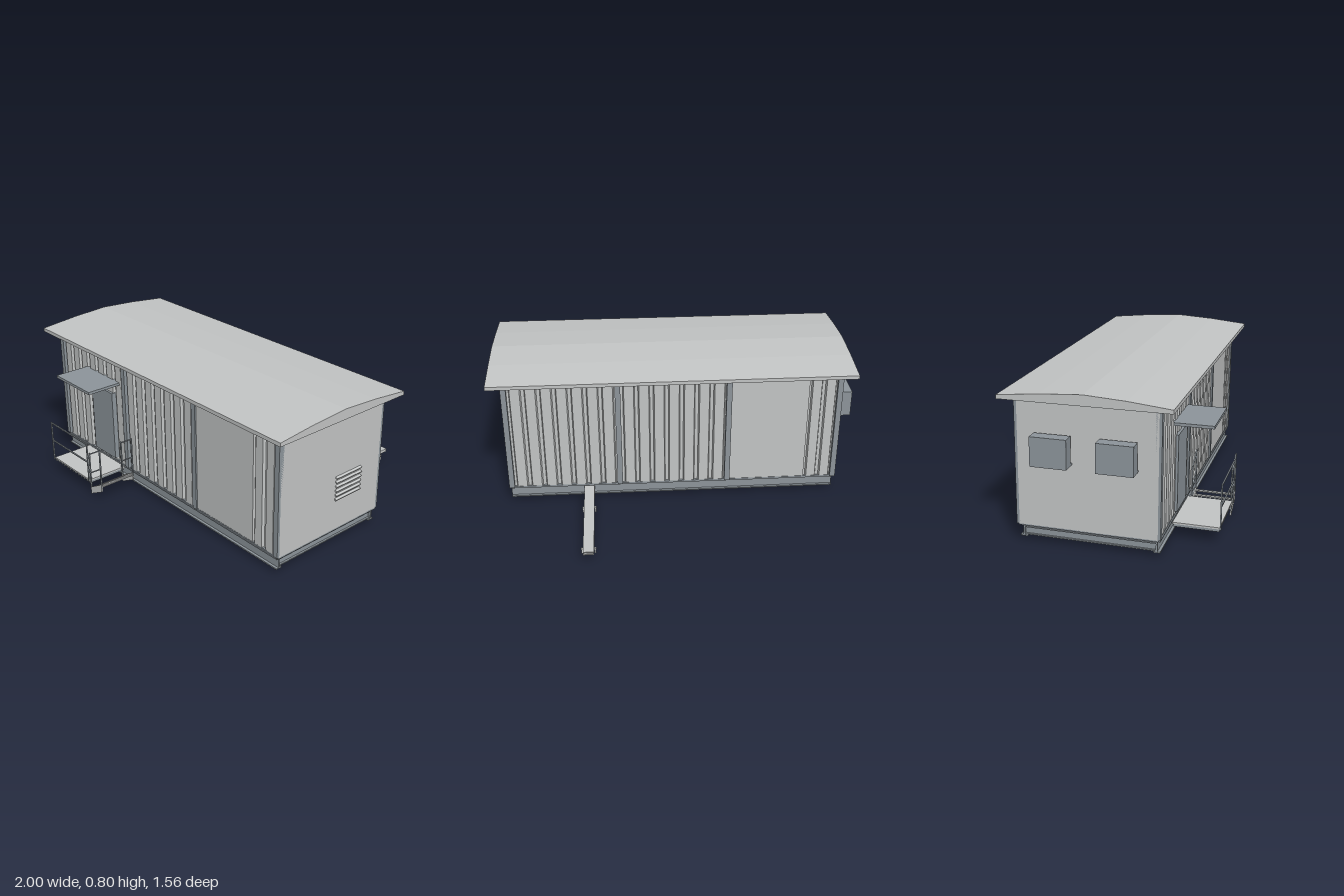
import * as THREE from 'three';

const material = (name, color) => {
  const m = new THREE.MeshStandardMaterial({ color });
  m.name = name;
  return m;
};

export function createModel() {
  const panel = material('pale grey panel', 0xc3c5c5);
  const steel = material('blue grey steel', 0x8d959b);
  const model = new THREE.Group();
  model.name = 'siteCabin';

  const add = (parent, name, geometry, mat) => {
    const mesh = new THREE.Mesh(geometry, mat);
    mesh.name = name;
    parent.add(mesh);
    return mesh;
  };
  // Box given by its limits along each axis
  const box = (parent, name, mat, x0, x1, y0, y1, z0, z1) => {
    const mesh = add(parent, name, new THREE.BoxGeometry(x1 - x0, y1 - y0, z1 - z0), mat);
    mesh.position.set((x0 + x1) / 2, (y0 + y1) / 2, (z0 + z1) / 2);
    return mesh;
  };
  // Square bar between two points in a plane of constant z
  const bar = (parent, name, xa, ya, xb, yb, z, t = 0.007) => {
    const length = Math.hypot(xb - xa, yb - ya) + t;
    const mesh = add(parent, name, new THREE.BoxGeometry(length, t, t), steel);
    mesh.position.set((xa + xb) / 2, (ya + yb) / 2, z);
    mesh.rotation.z = Math.atan2(yb - ya, xb - xa);
  };
  // Outline extruded along y; outline points are [x, z]
  const upright = (points, y0, y1) => {
    const shape = new THREE.Shape(points.map(([x, z]) => new THREE.Vector2(x, -z)));
    return new THREE.ExtrudeGeometry(shape, { depth: y1 - y0, bevelEnabled: false })
      .rotateX(-Math.PI / 2).translate(0, y0, 0);
  };

  // Cabin body with smooth end walls
  box(model, 'cabinBody', panel, -0.916, 0.926, 0.088, 0.742, -0.172, 0.512);
  box(model, 'endWallLeft', panel, 0.92, 0.928, 0.09, 0.742, -0.18, 0.52);
  box(model, 'endWallRight', panel, -0.918, -0.91, 0.09, 0.742, -0.18, 0.52);
  box(model, 'floorEdge', steel, -0.916, 0.928, 0.082, 0.092, -0.184, 0.524);

  // Long wall: columns, header and ribbed panels; the back is the front turned around
  const corrugation = (x0, x1, count) => {
    const low = 0.342, high = 0.357, p = (x1 - x0) / count;
    const points = [[x0, 0.33]];
    for (let i = 0; i < count; i++) {
      const x = x0 + i * p;
      points.push([x, low], [x + p * 0.15, low], [x + p * 0.22, high], [x + p * 0.86, high], [x + p * 0.93, low]);
    }
    points.push([x1, low], [x1, 0.33]);
    return upright(points, 0.095, 0.728);
  };
  for (const turn of [0, Math.PI]) {
    const wall = new THREE.Group();
    wall.name = turn ? 'backWall' : 'frontWall';
    wall.position.set(0.005, 0, 0.17);
    wall.rotation.y = turn;
    for (const x of [-0.908, -0.302, 0.302, 0.908]) {
      box(wall, 'column', steel, x - 0.015, x + 0.015, 0.09, 0.735, 0.335, 0.364);
    }
    box(wall, 'header', panel, -0.9, 0.9, 0.726, 0.742, 0.33, 0.358);
    add(wall, 'ribbedPanel', corrugation(-0.893, -0.317, 7), panel);
    add(wall, 'ribbedPanel', corrugation(-0.287, 0.287, 7), panel);
    box(wall, 'plainPanel', panel, 0.317, 0.74, 0.095, 0.728, 0.33, 0.356);
    add(wall, 'ribbedPanel', corrugation(0.74, 0.893, 2), panel);
    model.add(wall);
  }

  // Shallow curved roof
  const roofShape = new THREE.Shape();
  [[0.6, 0.74], [0.6, 0.76], [0.385, 0.782], [0.173, 0.795], [-0.04, 0.782], [-0.255, 0.76], [-0.255, 0.74]]
    .forEach(([z, y], i) => (i ? roofShape.lineTo(-z, y) : roofShape.moveTo(-z, y)));
  const roof = new THREE.ExtrudeGeometry(roofShape, { depth: 1.98, bevelEnabled: false });
  add(model, 'roof', roof.rotateY(Math.PI / 2).translate(-0.983, 0, 0), panel);

  // Skid frame: two long I-beams and cross beams
  for (const z of [-0.162, 0.512]) {
    box(model, 'skidWeb', steel, -0.905, 0.92, 0.022, 0.084, z - 0.004, z + 0.004);
    for (const y of [0.02, 0.078]) {
      box(model, 'skidFlange', steel, -0.905, 0.92, y, y + 0.007, z - 0.018, z + 0.018);
    }
  }
  for (let i = 0; i < 6; i++) {
    const x = -0.89 + i * 0.358;
    box(model, 'crossBeamWeb', steel, x - 0.004, x + 0.004, 0.03, 0.072, -0.16, 0.51);
    for (const y of [0.028, 0.066]) {
      box(model, 'crossBeamFlange', steel, x - 0.014, x + 0.014, y, y + 0.006, -0.16, 0.51);
    }
  }
  // Service openings under the floor
  for (const x of [0.39, 0.69]) {
    box(model, 'floorOpening', panel, x - 0.045, x + 0.045, 0.078, 0.084, 0.11, 0.22);
  }

  // Door and canopy
  box(model, 'door', steel, -0.6, -0.4, 0.11, 0.515, 0.51, 0.54);
  box(model, 'canopy', steel, -0.66, -0.34, 0.582, 0.597, 0.515, 0.727);

  // Entrance platform on joists
  box(model, 'platformDeck', panel, -0.68, -0.32, 0.078, 0.087, 0.535, 0.772);
  for (let i = 0; i < 13; i++) {
    const x = -0.674 + i * 0.029;
    box(model, 'platformJoist', steel, x - 0.003, x + 0.003, 0.064, 0.078, 0.54, 0.77);
  }
  for (const x of [-0.68, -0.32]) bar(model, 'railPost', x, 0.08, x, 0.31, 0.776);
  for (const y of [0.2, 0.31]) bar(model, 'platformRail', -0.68, y, -0.32, y, 0.776);

  // Steps with sloping stringers and handrails on both sides
  const stringer = new THREE.Shape([[-0.317, 0], [-0.21, 0.055], [-0.21, 0.1], [-0.317, 0.042]]
    .map(([x, y]) => new THREE.Vector2(x, y)));
  for (const z of [0.555, 0.765]) {
    add(model, 'stepStringer', new THREE.ExtrudeGeometry(stringer, { depth: 0.008, bevelEnabled: false })
      .translate(0, 0, z - 0.004), panel);
    bar(model, 'stepPost', -0.317, 0.03, -0.317, 0.25, z);
    bar(model, 'stepPost', -0.213, 0.08, -0.213, 0.308, z);
    bar(model, 'stepHandrail', -0.317, 0.245, -0.213, 0.308, z);
    bar(model, 'stepMidrail', -0.317, 0.13, -0.213, 0.195, z);
  }
  for (let i = 0; i < 4; i++) {
    const x = -0.303 + i * 0.027, y = 0.032 + i * 0.016;
    for (const dx of [-0.008, 0, 0.008]) {
      box(model, 'stepTreadBar', panel, x + dx - 0.003, x + dx + 0.003, y, y + 0.006, 0.556, 0.764);
    }
    for (let j = 0; j < 9; j++) {
      const z = 0.572 + j * 0.022;
      box(model, 'stepTreadLink', panel, x - 0.01, x + 0.01, y, y + 0.005, z - 0.003, z + 0.003);
    }
  }

  // Cooling units on shelves
  for (const z of [0.005, 0.33]) {
    box(model, 'coolingUnit', steel, -1, -0.935, 0.434, 0.575, z - 0.092, z + 0.092);
    box(model, 'coolingShelf', steel, -1, -0.915, 0.426, 0.434, z - 0.092, z + 0.092);
  }

  // Louvred vent: sloping slats
  for (let i = 0; i < 6; i++) {
    const slat = box(model, 'ventSlat', panel, 0.923, 0.939, 0.261 + i * 0.0245, 0.269 + i * 0.0245, -0.04, 0.142);
    slat.rotation.z = -0.45;
  }

  // Cable tray at the back with short legs
  box(model, 'cableTray', panel, 0.453, 0.51, 0.052, 0.058, -0.78, 0.1);
  for (const x of [0.453, 0.504]) box(model, 'traySide', panel, x, x + 0.006, 0.052, 0.07, -0.78, 0.1);
  box(model, 'trayCover', panel, 0.453, 0.51, 0.066, 0.071, -0.78, 0.1);
  for (const z of [-0.355, -0.72]) {
    box(model, 'trayBracket', panel, 0.442, 0.521, 0.044, 0.052, z - 0.006, z + 0.006);
    for (const x of [0.448, 0.515]) box(model, 'trayLeg', panel, x - 0.004, x + 0.004, 0.02, 0.046, z - 0.004, z + 0.004);
  }
  return model;
}
